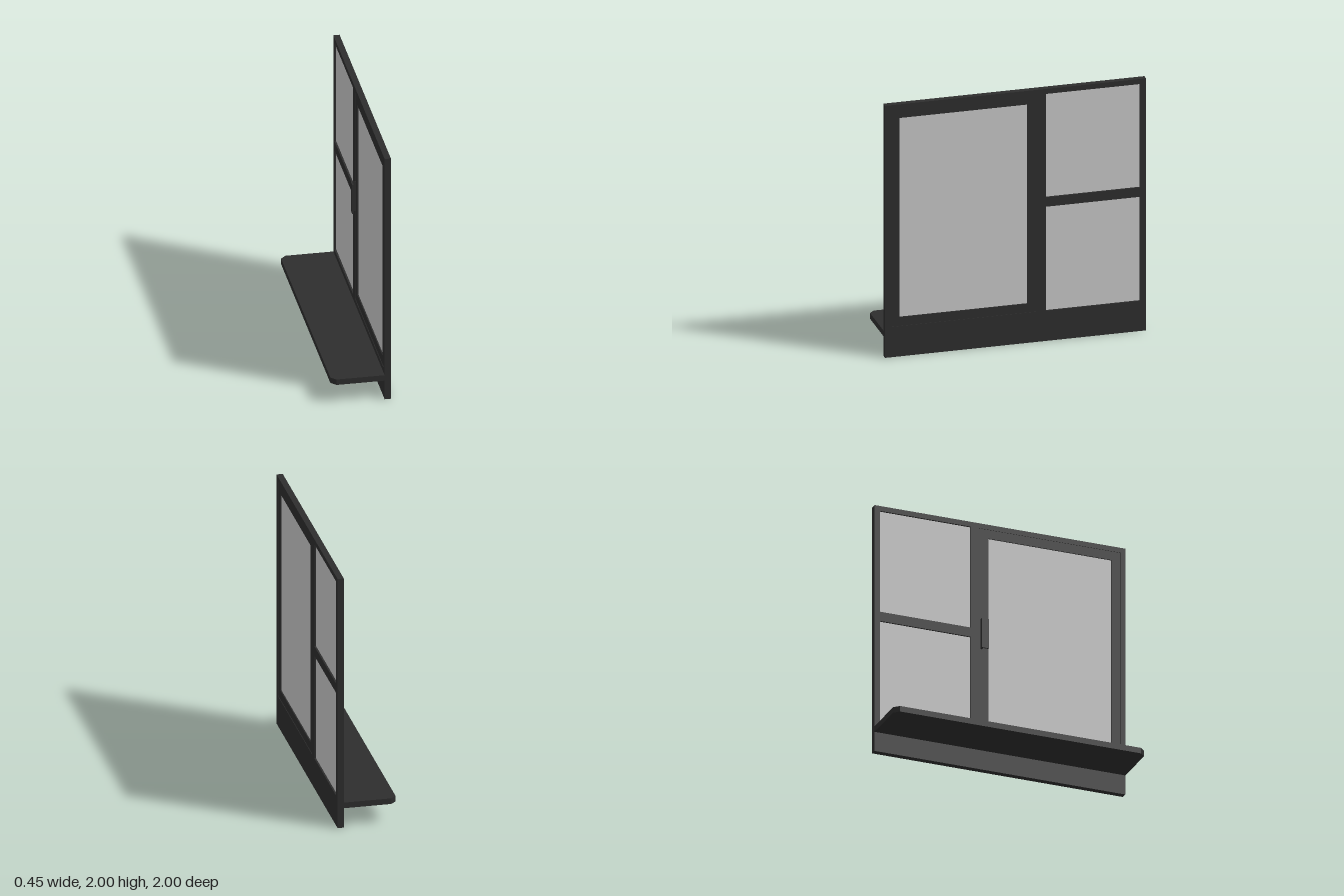
import * as THREE from 'three';

const X0 = 0.175, X1 = 0.222; // inner and outer faces of the wall frame

// Rectangle given as z and y ranges, drawn in a plane whose x axis is -z
function rect(Type, z0, z1, y0, y1) {
  const p = new Type();
  p.moveTo(-z1, y0);
  p.lineTo(-z0, y0);
  p.lineTo(-z0, y1);
  p.lineTo(-z1, y1);
  p.closePath();
  return p;
}

// Flat panel facing x, with rectangular openings
function panel(name, material, outer, holes, xa, xb) {
  const shape = rect(THREE.Shape, ...outer);
  holes.forEach((h) => shape.holes.push(rect(THREE.Path, ...h)));
  const geo = new THREE.ExtrudeGeometry(shape, { depth: xb - xa, bevelEnabled: false });
  geo.rotateY(Math.PI / 2);
  geo.translate(xa, 0, 0);
  const mesh = new THREE.Mesh(geo, material);
  mesh.name = name;
  return mesh;
}

function box(name, material, x0, x1, y0, y1, z0, z1) {
  const mesh = new THREE.Mesh(new THREE.BoxGeometry(x1 - x0, y1 - y0, z1 - z0), material);
  mesh.position.set((x0 + x1) / 2, (y0 + y1) / 2, (z0 + z1) / 2);
  mesh.name = name;
  return mesh;
}

export function createModel() {
  const group = new THREE.Group();
  group.name = 'windowWithSill';

  const frameMat = new THREE.MeshStandardMaterial({ color: 0x2d2d2d });
  frameMat.name = 'dark frame';
  const glassMat = new THREE.MeshStandardMaterial({ color: 0xc8c8c8 });
  glassMat.name = 'pale glass';

  // Openings as [z0, z1, y0, y1]
  const sashOpening = [-0.165, 0.96, 0.24, 1.96];
  const sashGlass = [-0.09, 0.89, 0.31, 1.89];
  const upperGlass = [-0.955, -0.235, 1.14, 1.96];
  const lowerGlass = [-0.955, -0.235, 0.24, 1.065];

  // Fixed frame and the large opening sash set just inside it
  group.add(panel('outerFrame', frameMat, [-1, 1, 0, 2],
    [sashOpening, upperGlass, lowerGlass], X0, X1));
  group.add(panel('sash', frameMat, sashOpening, [sashGlass], X0 + 0.004, X1 - 0.004));

  // Glass panes, recessed on both sides
  const panes = { sashPane: sashGlass, upperPane: upperGlass, lowerPane: lowerGlass };
  for (const [name, [z0, z1, y0, y1]] of Object.entries(panes)) {
    group.add(box(name, glassMat, X0 + 0.013, X1 - 0.013, y0, y1, z0, z1));
  }

  // Sill with clipped outer corners
  const sill = new THREE.Shape();
  [[X0, -1], [X0, 1], [-0.185, 1], [-0.225, 0.96], [-0.225, -0.96], [-0.185, -1]]
    .forEach(([x, z], i) => (i ? sill.lineTo(x, -z) : sill.moveTo(x, -z)));
  sill.closePath();
  const sillGeo = new THREE.ExtrudeGeometry(sill, { depth: 0.045, bevelEnabled: false });
  sillGeo.rotateX(-Math.PI / 2);
  sillGeo.translate(0, 0.155, 0);
  const sillMesh = new THREE.Mesh(sillGeo, frameMat);
  sillMesh.name = 'sill';
  group.add(sillMesh);

  // L-shaped pull handle on the sash
  const handle = new THREE.Group();
  handle.name = 'handle';
  handle.add(box('handleStem', frameMat, 0.155, X0 + 0.005, 0.98, 1.22, -0.155, -0.143));
  handle.add(box('handleGrip', frameMat, 0.143, 0.155, 0.98, 1.22, -0.155, -0.1));
  group.add(handle);

  return group;
}
